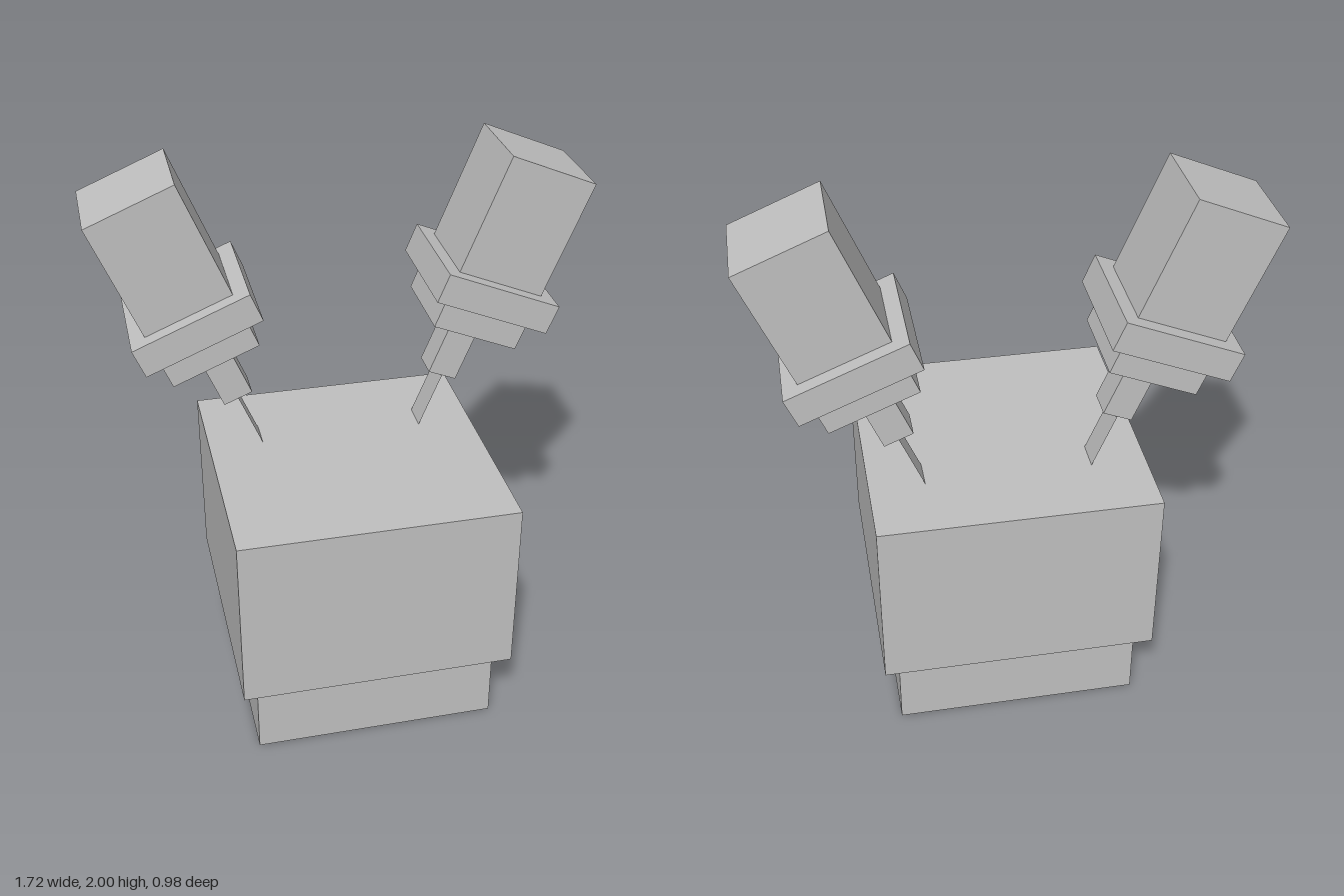
import * as THREE from 'three';

const grey = new THREE.MeshStandardMaterial({ color: 0xc0c0c0 });
grey.name = 'plain grey';
grey.side = THREE.DoubleSide; // the needles are open, flat strips

const U = 0.1087; // module unit shared by all syringe parts

function addBox(parent, name, w, h, d, y) {
  const mesh = new THREE.Mesh(new THREE.BoxGeometry(w, h, d), grey);
  mesh.name = name;
  mesh.position.y = y + h / 2;
  parent.add(mesh);
}

// Upright stack of boxes with its origin at the tip of the nozzle
function createSyringe(name, side) {
  const syringe = new THREE.Group();
  syringe.name = name;
  addBox(syringe, 'nozzle', U, 2 * U, U, 0);
  addBox(syringe, 'neck', 3 * U, U, 3 * U, 2 * U);
  addBox(syringe, 'collar', 4 * U, U, 4 * U, 3 * U);
  addBox(syringe, 'barrel', 3 * U, 4 * U, 3 * U, 4 * U);

  // Flat needle, edge-on to the front
  const needle = new THREE.Mesh(new THREE.PlaneGeometry(U, 2 * U), grey);
  needle.name = 'needle';
  needle.rotation.y = Math.PI / 2;
  needle.position.y = -U;
  syringe.add(needle);

  // Lean outwards
  syringe.position.set(side * 0.376, 1.132, -0.19);
  syringe.rotation.z = -side * Math.PI / 8;
  return syringe;
}

export function createModel() {
  const model = new THREE.Group();
  model.name = 'blockWithSyringes';
  addBox(model, 'base', 8 * U, 0.28, 8 * U, 0);
  addBox(model, 'body', 9 * U, 6 * U, 9 * U, 0.28);
  model.add(createSyringe('leftSyringe', 1), createSyringe('rightSyringe', -1));
  return model;
}
